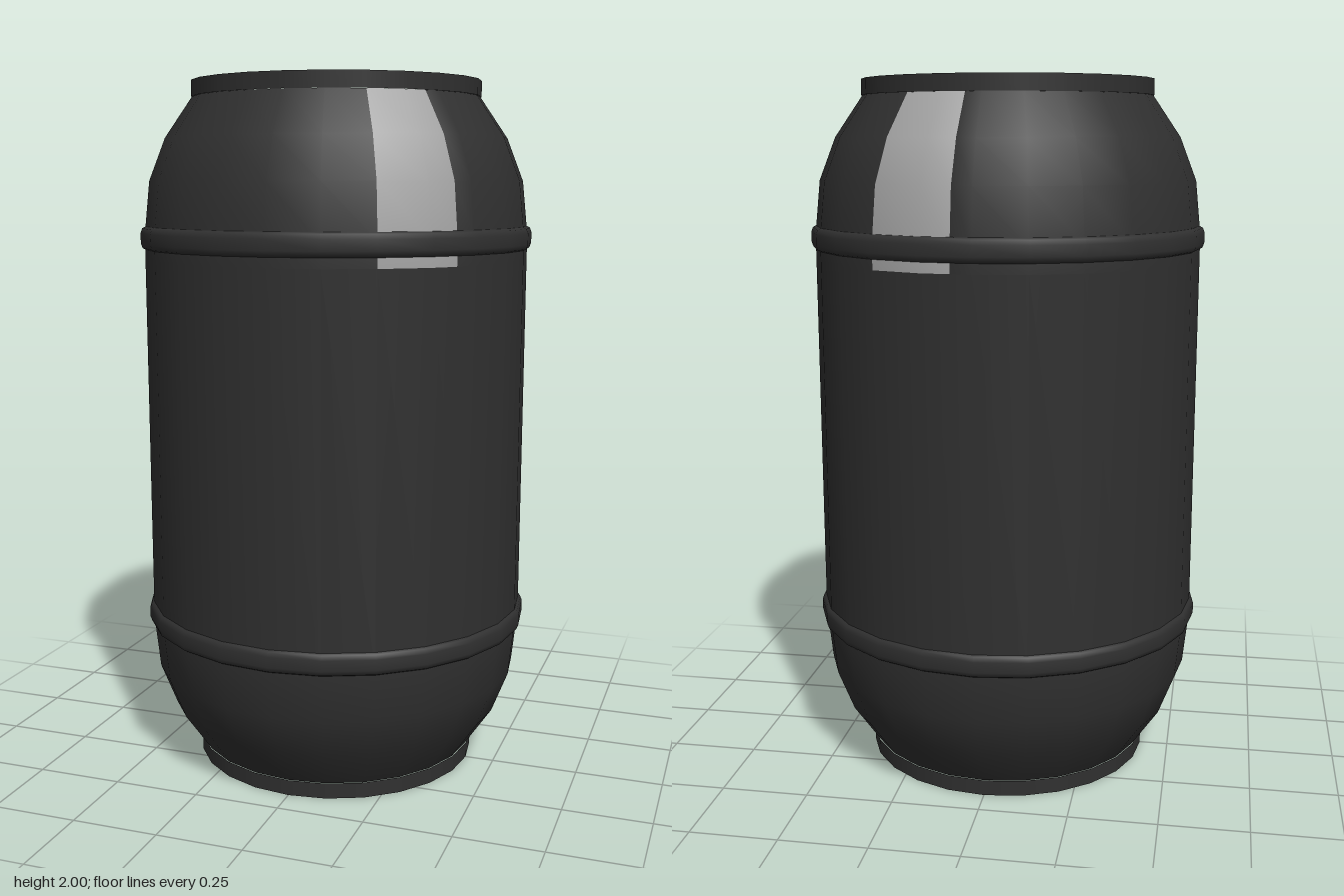
import * as THREE from 'three';

const SIDES = 24;
const STEP = (Math.PI * 2) / SIDES;

const darkMetal = new THREE.MeshStandardMaterial({ color: 0x303030, side: THREE.DoubleSide });
darkMetal.name = 'darkMetal';
const paleGrey = new THREE.MeshStandardMaterial({ color: 0xa4a4a4, side: THREE.DoubleSide });
paleGrey.name = 'paleGrey';

const points = (list) => list.map(([r, y]) => new THREE.Vector2(r, y));

// Lathe over some of the sides; trims cut the first or last facet part way along its chord
function shell(profile, start = 0, count = SIDES, trimStart = 0, trimEnd = 0) {
  const g = new THREE.LatheGeometry(points(profile), count, start * STEP, count * STEP);
  const pos = g.attributes.position;
  const n = profile.length;
  const a = new THREE.Vector3(), b = new THREE.Vector3();
  const slide = (col, toward, t) => {
    for (let j = 0; j < n; j++) {
      a.fromBufferAttribute(pos, col * n + j);
      b.fromBufferAttribute(pos, toward * n + j);
      a.lerp(b, t);
      pos.setXYZ(col * n + j, a.x, a.y, a.z);
    }
  };
  if (trimStart) slide(0, 1, trimStart);
  if (trimEnd) slide(count, count - 1, trimEnd);
  return g;
}

export function createModel() {
  const group = new THREE.Group();
  const add = (name, geometry, material) => {
    const mesh = new THREE.Mesh(geometry, material);
    mesh.name = name;
    group.add(mesh);
  };

  // Curve from neck to straight wall, measured from the nearest end
  const curve = [[0.413, 0.045], [0.492, 0.16], [0.539, 0.28], [0.555, 0.43]];
  const upper = curve.map(([r, y]) => [r, 2 - y]).reverse();

  // Lower bowl and straight wall
  add('lowerBody', shell([...curve, [0.555, 1.5]]), darkMetal);

  // Upper shoulder: three pale strips with dark panels between
  const shoulder = [[0.555, 1.5], ...upper];
  for (let i = 0; i < 3; i++) {
    const start = 2 + i * 8;
    add('paleStrip' + i, shell(shoulder, start, 2, 0, 0.4), paleGrey);
    add('shoulderPanel' + i, shell(shoulder, start + 1, 7, 0.6, 0), darkMetal);
  }

  // Open necks
  add('bottomNeck', shell([[0.416, 0], [0.416, 0.045]]), darkMetal);
  add('topNeck', shell([[0.416, 1.955], [0.416, 2]]), darkMetal);

  // Rounded hoops around the wall
  const hoop = [[0.553, -0.033], [0.562, -0.028], [0.567, -0.015],
    [0.567, 0.015], [0.562, 0.028], [0.553, 0.033]];
  for (const [name, y] of [['lowerHoop', 0.45], ['upperHoop', 1.56]]) {
    add(name, shell(hoop.map(([r, dy]) => [r, y + dy])), darkMetal);
  }
  return group;
}
